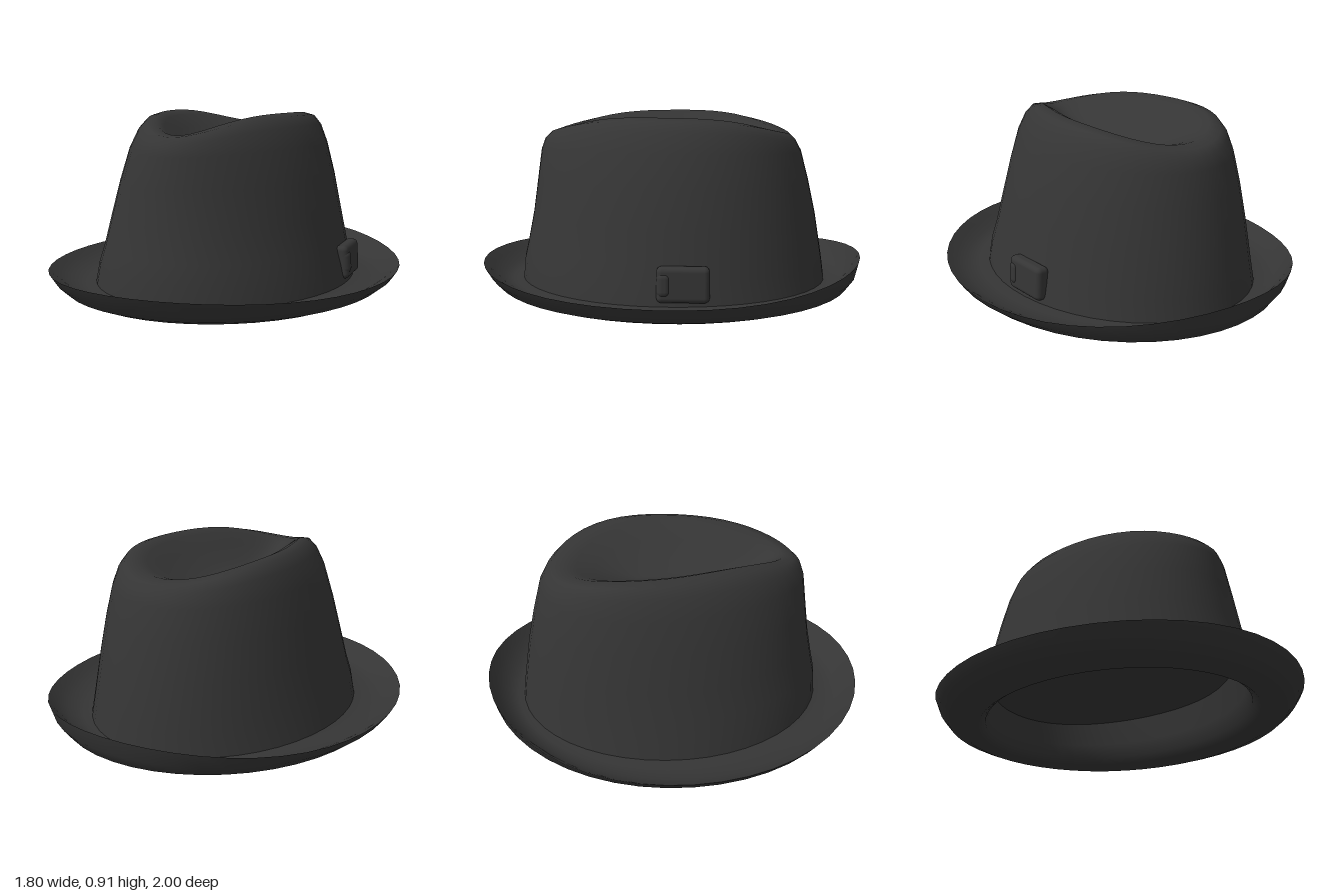
import * as THREE from 'three';
import { RoundedBoxGeometry } from 'three/addons/geometries/RoundedBoxGeometry.js';

const SEG = 48;

// Ring: [half width, front reach, back reach, side y, front y, back y, egg (narrows the front), skew]
function ringPoint([rx, zf, zb, ys, yf, yb, egg = 0, skew = 0], a) {
  const s = Math.sin(a), c = Math.cos(a);
  const y = ys + ((c > 0 ? yf : yb) - ys) * Math.abs(c) ** 3;
  const k = 1 - skew * Math.sin(2 * a);
  return [k * rx * s * (1 - egg * c), y, k * c * (c > 0 ? zf : zb)];
}

// Smooth skin through a list of closed rings
function loft(rings) {
  const pos = [], idx = [];
  for (const r of rings)
    for (let j = 0; j < SEG; j++) pos.push(...ringPoint(r, (j / SEG) * Math.PI * 2));
  for (let i = 0; i < rings.length - 1; i++)
    for (let j = 0; j < SEG; j++) {
      const k = (j + 1) % SEG, a = i * SEG + j, b = i * SEG + k;
      idx.push(a, b, a + SEG, b, b + SEG, a + SEG);
    }
  const g = new THREE.BufferGeometry();
  g.setAttribute('position', new THREE.Float32BufferAttribute(pos, 3));
  g.setIndex(idx);
  g.computeVertexNormals();
  return g;
}

export function createModel() {
  const felt = new THREE.MeshStandardMaterial({ color: 0x353535 });
  felt.name = 'charcoal felt';
  const hat = new THREE.Group();
  hat.name = 'hat';
  const add = (name, geometry, parent = hat) => {
    const m = new THREE.Mesh(geometry, felt);
    m.name = name;
    parent.add(m);
    return m;
  };

  // Crown: tapering wall, raised side ridges and a teardrop dent on top
  add('crown', loft([
    [0.66, 0.79, 0.82, 0.05, 0.05, 0.05],
    [0.635, 0.78, 0.805, 0.16, 0.16, 0.16],
    [0.61, 0.76, 0.79, 0.25, 0.25, 0.25, 0.02],
    [0.575, 0.73, 0.765, 0.40, 0.40, 0.40, 0.04],
    [0.53, 0.705, 0.725, 0.58, 0.58, 0.58, 0.08],
    [0.477, 0.685, 0.685, 0.75, 0.73, 0.73, 0.13],
    [0.432, 0.665, 0.655, 0.85, 0.785, 0.785, 0.18],
    [0.39, 0.63, 0.62, 0.90, 0.82, 0.82, 0.22],
    [0.345, 0.57, 0.55, 0.915, 0.825, 0.83, 0.25],
    [0.295, 0.53, 0.49, 0.89, 0.805, 0.815, 0.26],
    [0.22, 0.46, 0.40, 0.83, 0.775, 0.785, 0.24],
    [0.12, 0.36, 0.30, 0.76, 0.745, 0.75, 0.18],
    [0.04, 0.20, 0.18, 0.73, 0.725, 0.725],
    [0, 0, 0, 0.725, 0.725, 0.725],
  ]));

  // Brim: thin dish, flat near the crown, curled up at the edge, highest at the back.
  // The underside rolls smoothly up into the short inner wall.
  const edge = [0.90, 1.0, 1.0, 0.115, 0.145, 0.19, 0, 0.012];
  const bandTop = [0.57, 0.70, 0.745, 0.27, 0.38, 0.24, 0.06];
  add('brimUnderside', loft([
    bandTop,
    [0.588, 0.73, 0.755, 0.13, 0.15, 0.12, 0.02],
    [0.605, 0.745, 0.765, 0.05, 0.05, 0.05],
    [0.645, 0.785, 0.80, 0.018, 0.018, 0.018],
    [0.75, 0.86, 0.87, 0.005, 0.01, 0.01, 0, 0.008],
    [0.82, 0.92, 0.94, 0.03, 0.035, 0.04, 0, 0.01],
    [0.87, 0.965, 0.98, 0.07, 0.085, 0.10, 0, 0.012],
    edge,
  ]));
  add('brimTop', loft([
    edge,
    [0.86, 0.955, 0.965, 0.09, 0.11, 0.14, 0, 0.012],
    [0.80, 0.90, 0.91, 0.06, 0.065, 0.08, 0, 0.01],
    [0.72, 0.84, 0.85, 0.05, 0.05, 0.055],
    [0.63, 0.77, 0.79, 0.06, 0.06, 0.06],
  ]));

  // Shallow cap closing the inside
  add('innerCap', loft([
    [0, 0, 0, 0.30, 0.30, 0.30],
    [0.30, 0.38, 0.38, 0.29, 0.34, 0.27],
    bandTop,
  ]));

  // Small flat bow on the left side
  const bow = new THREE.Group();
  bow.name = 'bow';
  bow.position.set(0.63, 0.16, -0.12);
  bow.rotation.set(0, 0.06, 0.06);
  hat.add(bow);
  add('bowLoop', new RoundedBoxGeometry(0.07, 0.17, 0.25, 3, 0.025), bow);
  add('bowKnot', new RoundedBoxGeometry(0.085, 0.12, 0.07, 3, 0.03), bow).position.z = 0.09;

  return hat;
}
